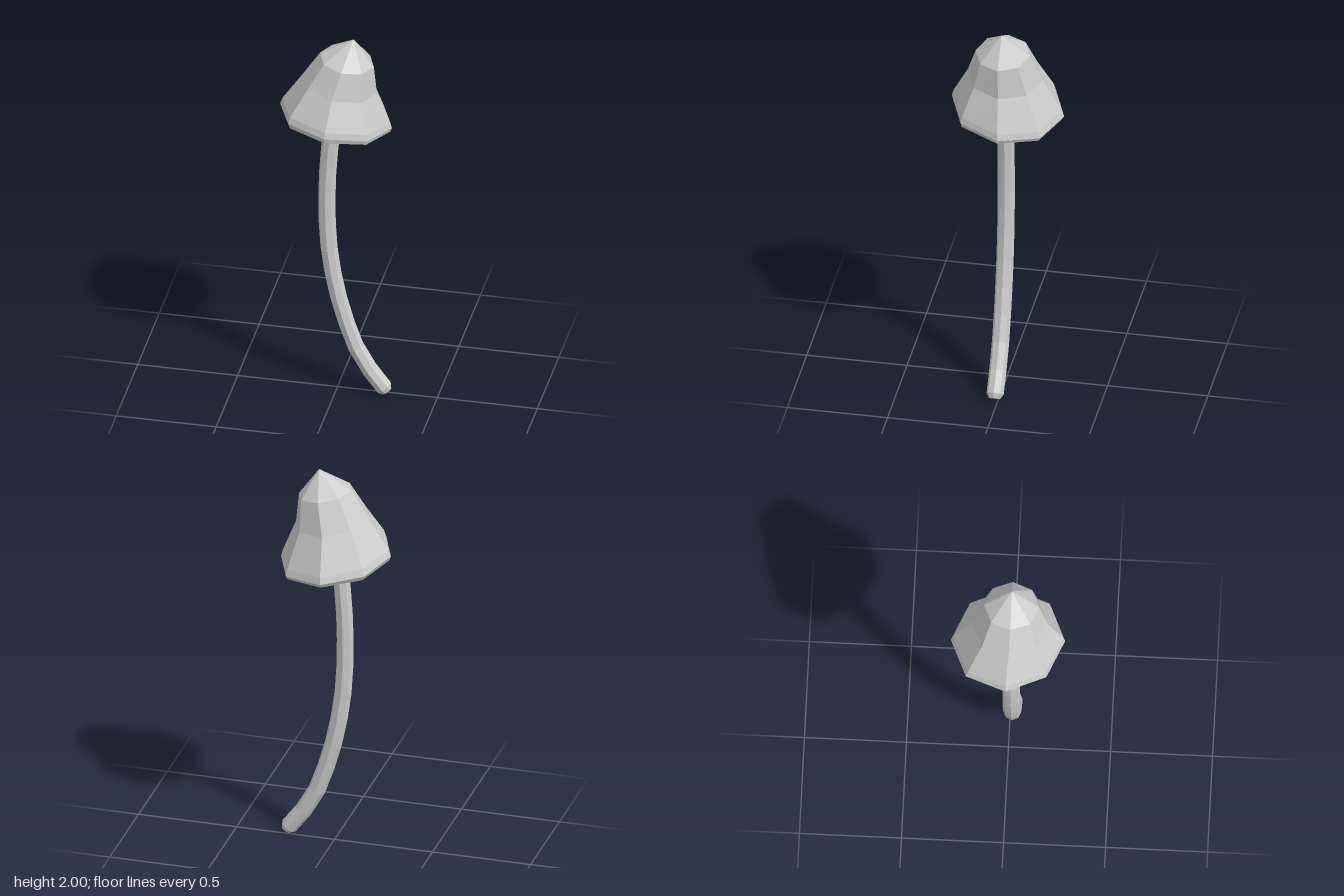
import * as THREE from 'three';

const SIDES = 8;

// Skins a stack of rings; each ring is a function from angle to a point.
function skin(name, rings) {
  const pos = [], index = [];
  for (const ring of rings)
    for (let j = 0; j < SIDES; j++) pos.push(...ring((j / SIDES) * Math.PI * 2));
  for (let i = 0; i < rings.length - 1; i++)
    for (let j = 0; j < SIDES; j++) {
      const a = i * SIDES + j, b = i * SIDES + (j + 1) % SIDES;
      const c = a + SIDES, d = b + SIDES;
      // the first and last rings are single points, so skip their empty triangles
      if (i > 0) index.push(a, c, b);
      if (i < rings.length - 2) index.push(b, c, d);
    }
  const geometry = new THREE.BufferGeometry();
  geometry.setAttribute('position', new THREE.Float32BufferAttribute(pos, 3));
  geometry.setIndex(index);
  geometry.computeVertexNormals();
  const material = new THREE.MeshStandardMaterial({ color: 0xcccccc, flatShading: true });
  const mesh = new THREE.Mesh(geometry, material);
  mesh.name = name;
  return mesh;
}

// Cap ring: tilted down towards +x and slightly towards the back.
function capRing([x, y, z, r, tiltX, tiltZ]) {
  return (a) => {
    const dx = r * Math.cos(a), dz = r * Math.sin(a);
    return [x + dx, y + tiltX * dx + tiltZ * dz, z + dz];
  };
}

function createCap() {
  // from the hollow's peak, out to the rim, then up the outside to the tip
  const rings = [
    [0.0, 1.66, 0.01, 0, 0, 0],
    [-0.006, 1.525, 0, 0.255, -0.12, 0.09],
    [-0.006, 1.522, 0, 0.27, -0.12, 0.09],
    [-0.008, 1.545, -0.002, 0.28, -0.13, 0.1],
    [-0.005, 1.578, 0, 0.27, -0.14, 0.1],
    [0.012, 1.735, 0.008, 0.187, -0.16, 0.05],
    [0.05, 1.88, 0.013, 0.135, -0.18, 0],
    [0.083, 2.0, 0.013, 0, 0, 0],
  ];
  return skin('cap', rings.map(capRing));
}

function createStem() {
  const z = 0.015, radius = 0.043;
  const path = [
    [0.25, 0.018], [0.12, 0.2], [0.043, 0.4], [-0.008, 0.6], [-0.039, 0.8],
    [-0.05, 1.03], [-0.043, 1.28], [-0.018, 1.53], [0.0, 1.65],
  ];
  const curve = new THREE.CatmullRomCurve3(path.map(([x, y]) => new THREE.Vector3(x, y, z)));
  // rounded foot, then even steps up to the closed top
  const steps = [[0, 0], [0, 0.028], [0.014, radius]];
  for (let i = 1; i <= 12; i++) steps.push([i / 12, radius]);
  steps.push([1, 0]);
  return skin('stem', steps.map(([t, r]) => {
    const p = curve.getPointAt(t), d = curve.getTangentAt(t);
    return (a) => [
      p.x + d.y * r * Math.cos(a),
      p.y - d.x * r * Math.cos(a),
      p.z + r * Math.sin(a),
    ];
  }));
}

export function createModel() {
  const group = new THREE.Group();
  group.name = 'mushroom';
  group.add(createCap(), createStem());
  return group;
}
